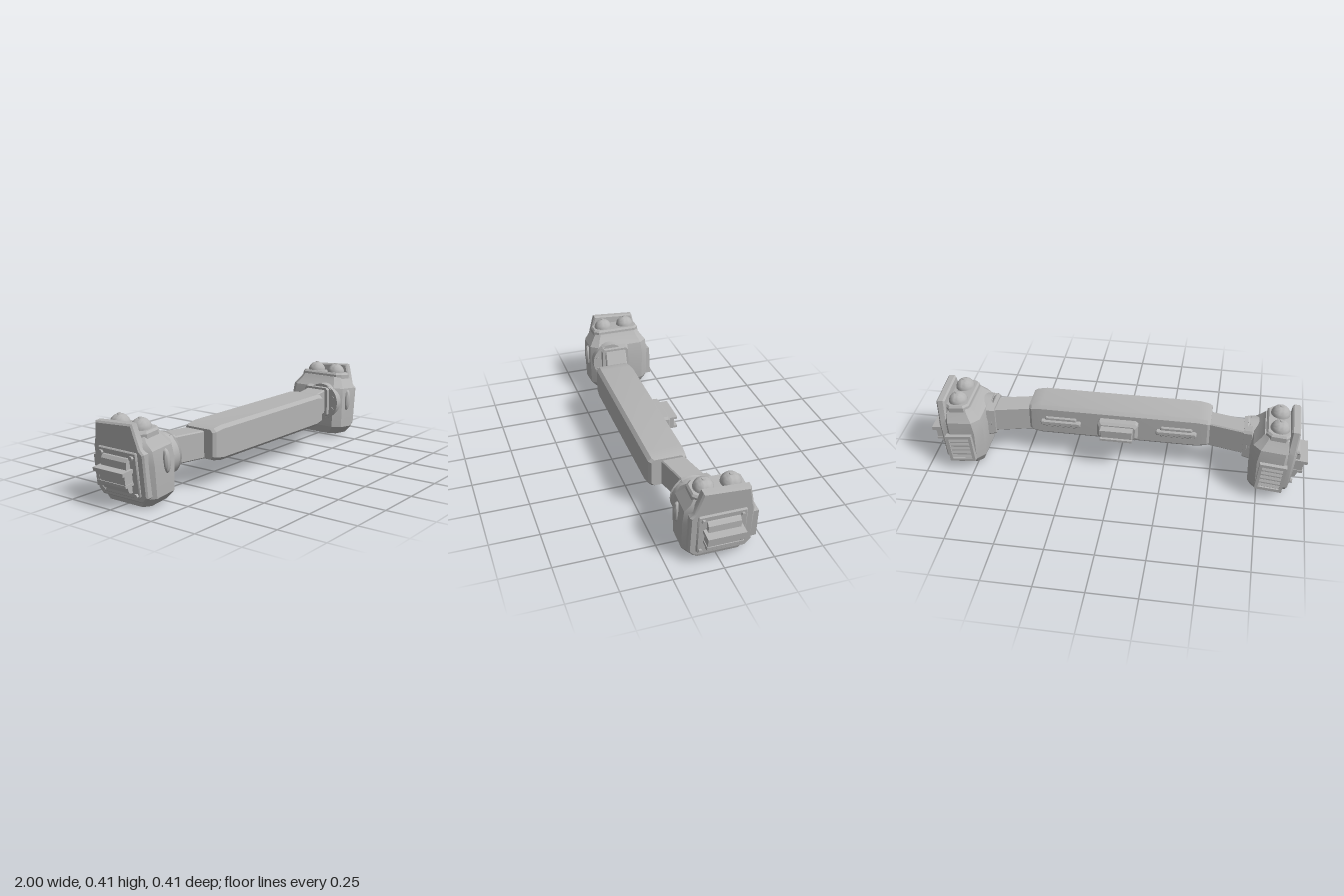
import * as THREE from 'three';
import { toCreasedNormals } from 'three/addons/utils/BufferGeometryUtils.js';

const grey = new THREE.MeshStandardMaterial({ color: 0xb4b4b4 });
grey.name = 'plain grey';

function add(parent, name, geometry, x = 0, y = 0, z = 0, crease = 0.5) {
  const mesh = new THREE.Mesh(toCreasedNormals(geometry, crease), grey);
  mesh.name = name;
  mesh.position.set(x, y, z);
  parent.add(mesh);
  return mesh;
}

const box = (w, h, d) => new THREE.BoxGeometry(w, h, d);

// Skin over chamfered rectangles stacked along y: [y, x0, x1, z0, z1, chamfer]
function loft(rings) {
  const pos = [], idx = [], n = 8;
  for (const [y, x0, x1, z0, z1, c] of rings) {
    const ring = [[x1, z0 + c], [x1, z1 - c], [x1 - c, z1], [x0 + c, z1],
      [x0, z1 - c], [x0, z0 + c], [x0 + c, z0], [x1 - c, z0]];
    for (const [x, z] of ring) pos.push(x, y, z);
  }
  const top = (rings.length - 1) * n;
  for (let r = 0; r < top; r += n) {
    for (let i = 0; i < n; i++) {
      const a = r + i, b = r + (i + 1) % n;
      idx.push(a, a + n, b, b, a + n, b + n);
    }
  }
  for (let i = 1; i < n - 1; i++) idx.push(0, i, i + 1, top, top + i + 1, top + i);
  const g = new THREE.BufferGeometry();
  g.setAttribute('position', new THREE.Float32BufferAttribute(pos, 3));
  g.setIndex(idx);
  return g;
}

// Plate outlined by [z, y] points, growing along +x
function sidePlate(points, depth, bevel) {
  const shape = new THREE.Shape(points.map(([z, y]) => new THREE.Vector2(-z, y)));
  return new THREE.ExtrudeGeometry(shape, {
    depth: depth - 2 * bevel, bevelThickness: bevel, bevelSize: bevel,
    bevelOffset: -bevel, bevelSegments: 1,
  }).translate(0, 0, bevel).rotateY(Math.PI / 2);
}

// Box with all chamfered edges, its base at z = 0 and growing toward -z
function backBlock(w, h, d, c) {
  return loft([
    [0, -w / 2, w / 2, -h / 2, h / 2, c],
    [d - c, -w / 2, w / 2, -h / 2, h / 2, c],
    [d, -w / 2 + c, w / 2 - c, -h / 2 + c, h / 2 - c, c],
  ]).rotateX(-Math.PI / 2);
}

function makeHead() {
  const head = new THREE.Group();
  head.name = 'head';
  head.position.set(0.82, 0.17, 0);
  head.rotation.z = -0.105;

  add(head, 'headBody', loft([
    [-0.162, -0.085, 0.08, -0.145, 0.12, 0.03],
    [-0.118, -0.108, 0.09, -0.178, 0.16, 0.04],
    [0.04, -0.125, 0.09, -0.183, 0.164, 0.04],
    [0.11, -0.118, 0.09, -0.178, 0.158, 0.04],
    [0.15, -0.085, 0.085, -0.15, 0.13, 0.03],
    [0.172, -0.072, 0.07, -0.138, 0.115, 0.025],
  ]), 0, 0, 0, 0.35);

  // Twin domes on a raised base
  add(head, 'domeBase', loft([
    [0.155, -0.066, 0.062, -0.145, 0.122, 0.025],
    [0.184, -0.066, 0.062, -0.145, 0.122, 0.025],
    [0.194, -0.058, 0.055, -0.137, 0.114, 0.022],
  ]));
  for (const z of [-0.078, 0.055]) {
    add(head, 'dome', new THREE.SphereGeometry(0.05, 28, 10, 0, Math.PI * 2, 0, Math.PI / 2), 0, 0.192, z);
    add(head, 'domeTip', new THREE.CylinderGeometry(0.009, 0.012, 0.006, 12), 0, 0.242, z);
  }

  // Tall outer shield and its raised panel
  add(head, 'shield', sidePlate([
    [0.145, 0.105], [0.125, 0.125], [0.09, 0.243], [-0.14, 0.228], [-0.16, 0.125],
    [-0.167, 0.105], [-0.167, -0.105], [-0.142, -0.135], [0.118, -0.135], [0.145, -0.105],
  ], 0.045, 0.008), 0.055);
  add(head, 'outerPanel', sidePlate([
    [0.105, 0.112], [-0.125, 0.112], [-0.13, 0.105], [-0.13, -0.1],
    [-0.12, -0.112], [0.1, -0.112], [0.11, -0.1], [0.11, 0.105],
  ], 0.015, 0.005), 0.095);
  for (const [z, y] of [[0.085, 0.087], [-0.105, 0.087], [0.093, -0.094], [-0.112, -0.094]]) {
    add(head, 'panelBolt', new THREE.CylinderGeometry(0.011, 0.012, 0.016, 6).rotateZ(Math.PI / 2), 0.114, y, z);
  }

  // Stepped outlet with two ledges
  const profile = [[0.1, 0.085], [0.118, 0.082], [0.132, 0.068], [0.136, 0.03], [0.158, 0.025],
    [0.158, -0.035], [0.142, -0.045], [0.132, -0.08], [0.1, -0.088]];
  add(head, 'outlet', new THREE.ExtrudeGeometry(
    new THREE.Shape(profile.map(p => new THREE.Vector2(...p))),
    { depth: 0.16, bevelEnabled: false }), 0, 0, -0.092);
  add(head, 'upperLedge', box(0.08, 0.018, 0.188), 0.138, 0.025, -0.01);
  add(head, 'lowerLedge', box(0.065, 0.014, 0.18), 0.13, -0.038, -0.01);
  for (const z of [-0.09, 0.07]) add(head, 'outletCheek', box(0.055, 0.06, 0.012), 0.132, -0.006, z);

  // Oval lamp on the front
  add(head, 'frontLamp', new THREE.SphereGeometry(1, 20, 14).scale(0.021, 0.06, 0.02), -0.03, 0.042, 0.162, 1);

  // Louvred vent on the back
  const vent = new THREE.Group();
  vent.name = 'backVent';
  vent.position.set(0, -0.035, -0.19);
  head.add(vent);
  add(vent, 'ventBack', box(0.12, 0.13, 0.016), 0, 0, 0.003);
  for (const s of [-1, 1]) {
    add(vent, 'ventSide', box(0.016, 0.158, 0.032), s * 0.062, 0, 0.001);
    add(vent, 'ventRail', box(0.14, 0.016, 0.032), 0, s * 0.071, 0.001);
  }
  for (let i = -2; i <= 2; i++) {
    add(vent, 'ventSlat', box(0.112, 0.013, 0.014).rotateX(0.4), 0, i * 0.025, -0.006);
  }
  return head;
}

function makeSide() {
  const side = new THREE.Group();
  side.name = 'leftSide';
  side.add(makeHead());

  // Round joint with bolts on the inner face of the head
  const disc = (r1, r2, w) => new THREE.CylinderGeometry(r1, r2, w, 32).rotateZ(Math.PI / 2);
  add(side, 'jointDisc', disc(0.105, 0.105, 0.065), 0.726, 0.21, 0.052);
  add(side, 'jointRim', disc(0.105, 0.09, 0.014), 0.687, 0.21, 0.052);
  for (let i = 0; i < 8; i++) {
    const a = (i + 0.5) * Math.PI / 4;
    add(side, 'jointBolt', new THREE.CylinderGeometry(0.01, 0.01, 0.014, 6).rotateZ(Math.PI / 2),
      0.681, 0.21 + 0.088 * Math.sin(a), 0.052 + 0.088 * Math.cos(a));
  }
  add(side, 'armFlange', loft([
    [0.662, -0.083, 0.083, -0.045, 0.108, 0.012],
    [0.705, -0.088, 0.088, -0.055, 0.115, 0.012],
  ]).rotateZ(-Math.PI / 2), 0, 0.216, 0);

  // Slanted arm from the bar to the joint
  add(side, 'arm', loft([
    [0.46, -0.07, 0.07, 0.018, 0.138, 0.006],
    [0.69, -0.07, 0.07, -0.036, 0.085, 0.006],
  ]).rotateZ(-Math.PI / 2), 0, 0.217, 0);

  // Slim fitting on the back of the bar
  add(side, 'slimPlate', backBlock(0.17, 0.06, 0.014, 0.005), 0.31, 0.222, 0.003);
  add(side, 'slimBar', backBlock(0.215, 0.026, 0.026, 0.005), 0.31, 0.222, 0.003);
  return side;
}

// Mirrored copy across x with the faces turned the right way out
function mirrorX(source, name) {
  const group = new THREE.Group();
  group.name = name;
  source.updateMatrixWorld(true);
  const flip = new THREE.Matrix4().makeScale(-1, 1, 1);
  source.traverse(part => {
    if (!part.isMesh) return;
    const g = part.geometry.clone().applyMatrix4(flip.clone().multiply(part.matrixWorld));
    const order = [];
    for (let i = 0; i < g.attributes.position.count; i += 3) order.push(i, i + 2, i + 1);
    g.setIndex(order);
    const mesh = new THREE.Mesh(g, grey);
    mesh.name = part.name;
    group.add(mesh);
  });
  return group;
}

export function createModel() {
  const model = new THREE.Group();
  model.name = 'crossbarWithHeads';

  // Thick central bar with tapered ends
  add(model, 'centralBar', loft([
    [-0.487, -0.074, 0.074, 0.014, 0.184, 0.015],
    [-0.472, -0.08, 0.08, 0.004, 0.196, 0.017],
    [-0.42, -0.088, 0.088, 0, 0.2, 0.017],
    [0.42, -0.088, 0.088, 0, 0.2, 0.017],
    [0.472, -0.08, 0.08, 0.004, 0.196, 0.017],
    [0.487, -0.074, 0.074, 0.014, 0.184, 0.015],
  ]).rotateZ(-Math.PI / 2), 0, 0.223, 0, 0.3);

  // Stepped block in the middle of the back
  add(model, 'blockBase', backBlock(0.215, 0.1, 0.05, 0.012), 0, 0.222, 0.003);
  add(model, 'blockTop', backBlock(0.17, 0.06, 0.078, 0.006), 0, 0.222, 0.003);
  for (const s of [-1, 1]) add(model, 'blockRail', box(0.17, 0.012, 0.045), 0, 0.222 + s * 0.026, -0.067);

  const left = makeSide();
  model.add(left, mirrorX(left, 'rightSide'));
  return model;
}
